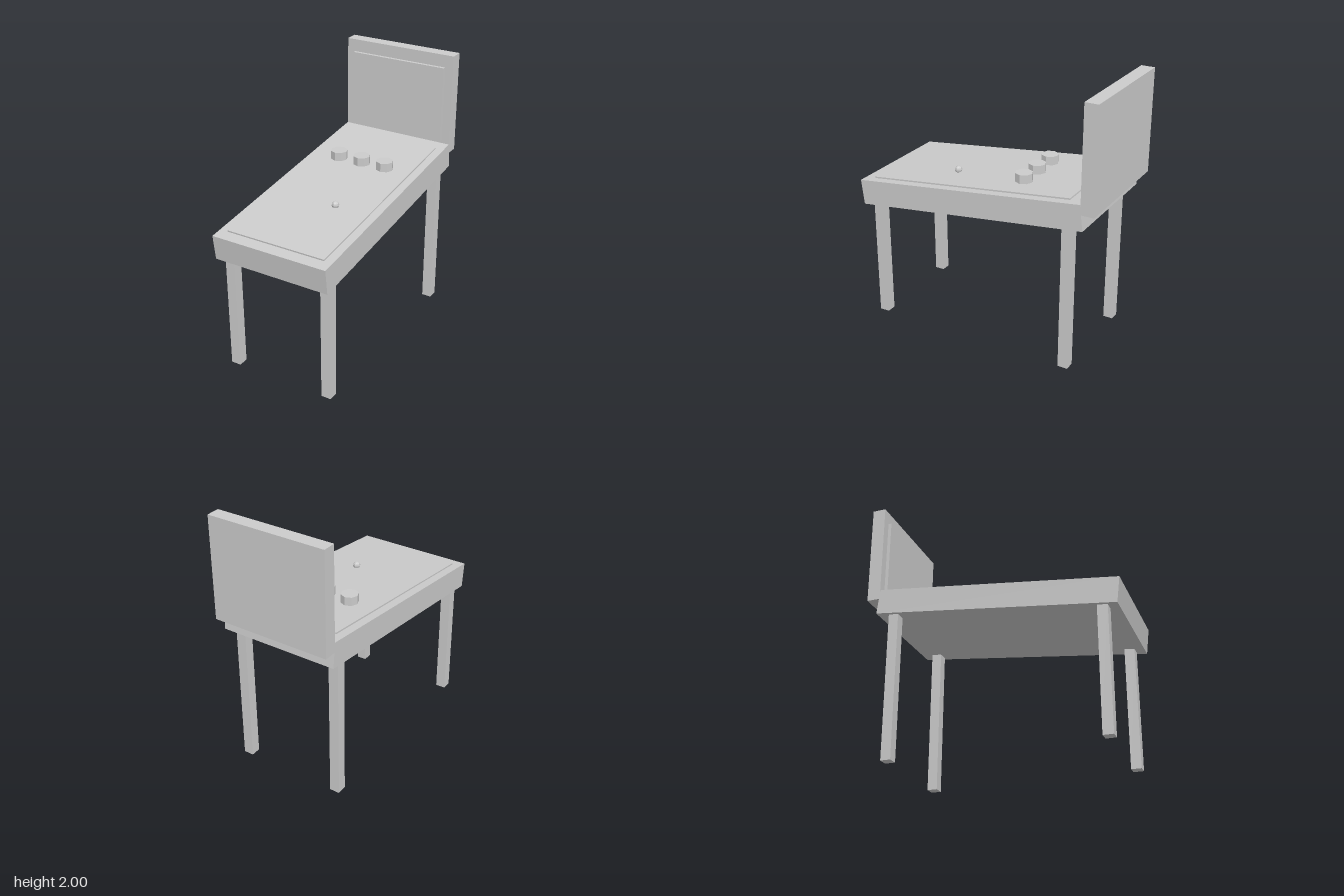
import * as THREE from 'three';

export function createModel() {
  const group = new THREE.Group();
  const grey = new THREE.MeshStandardMaterial({ color: 0xcccccc });
  grey.name = 'light grey';
  grey.flatShading = true;

  const add = (parent, name, geometry, x, y, z) => {
    const mesh = new THREE.Mesh(geometry, grey);
    mesh.name = name;
    mesh.position.set(x, y, z);
    parent.add(mesh);
    return mesh;
  };
  const box = (w, h, d) => new THREE.BoxGeometry(w, h, d);

  // Sloping table with a slightly raised playfield
  const table = new THREE.Group();
  table.name = 'table';
  table.position.set(0, 1.1, 0.04);
  table.rotation.x = 0.12;
  group.add(table);
  add(table, 'cabinet', box(0.9, 0.19, 1.8), 0, 0, 0);
  add(table, 'playfield', box(0.775, 0.02, 1.61), 0, 0.096, 0.008);

  // Upright back box with its display panel
  add(group, 'backBox', box(0.9, 0.77, 0.1), 0, 1.615, -0.895);
  add(group, 'displayPanel', box(0.77, 0.58, 0.03), 0, 1.615, -0.835);

  // Four legs, longer at the back, ending inside the cabinet
  for (const side of [-1, 1]) {
    for (const [name, z, height] of [['frontLeg', 0.813, 0.93], ['backLeg', -0.738, 1.12]]) {
      add(group, name, box(0.075, height, 0.075), side * 0.387, height / 2, z);
    }
  }

  // Row of octagonal bumpers
  for (const x of [-0.194, 0, 0.194]) {
    add(group, 'bumper', new THREE.CylinderGeometry(0.064, 0.064, 0.065, 8), x, 1.287, -0.288);
  }

  // Ball resting on the playfield
  add(group, 'ball', new THREE.SphereGeometry(0.028, 8, 6), 0.127, 1.192, 0.293);

  return group;
}
